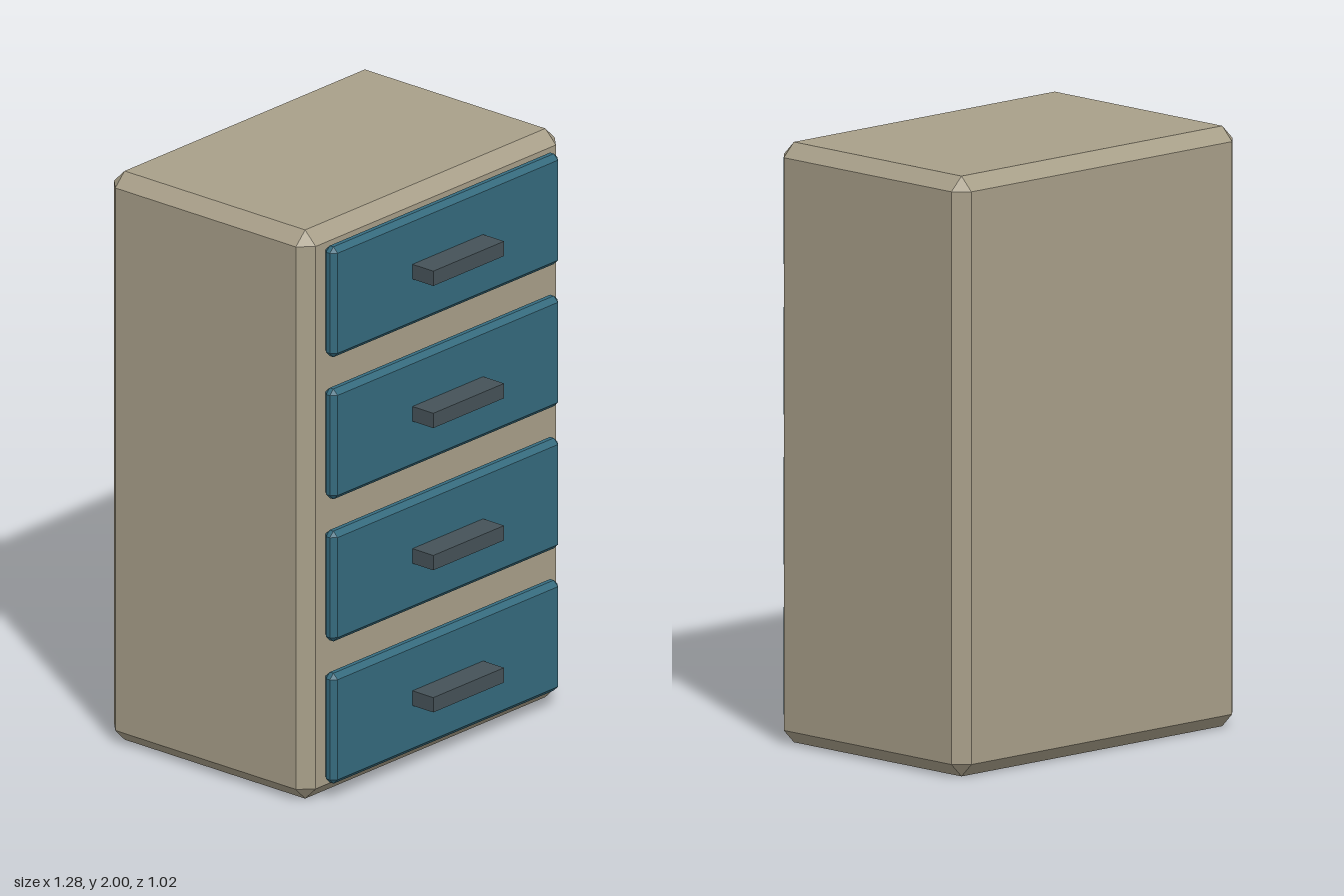
import * as THREE from 'three';
import { ConvexGeometry } from 'three/addons/geometries/ConvexGeometry.js';

// Box with every edge cut by a flat bevel: three points per corner
function bevelBox(w, h, d, b) {
  const points = [];
  for (const x of [-1, 1]) for (const y of [-1, 1]) for (const z of [-1, 1]) {
    for (const axis of [0, 1, 2]) {
      const inset = [0, 1, 2].map((i) => (i === axis ? 0 : b));
      points.push(new THREE.Vector3(
        x * (w / 2 - inset[0]),
        y * (h / 2 - inset[1]),
        z * (d / 2 - inset[2]),
      ));
    }
  }
  return new ConvexGeometry(points);
}

export function createModel() {
  const model = new THREE.Group();
  model.name = 'drawerCabinet';
  const material = (color) => new THREE.MeshStandardMaterial({ color, flatShading: true });
  const bodyMaterial = material(0xa89f89);
  const drawerMaterial = material(0x356a7d);
  const handleMaterial = material(0x455258);

  const add = (parent, name, geometry, mat, x, y, z) => {
    const mesh = new THREE.Mesh(geometry, mat);
    mesh.name = name;
    mesh.position.set(x, y, z);
    parent.add(mesh);
  };

  // Cabinet body
  add(model, 'cabinetBody', bevelBox(1.28, 2, 0.877, 0.046), bodyMaterial, 0, 1, -0.0715);

  // Four drawer fronts, each with a bar handle
  const frontGeometry = bevelBox(1.126, 0.388, 0.052, 0.018);
  const handleGeometry = new THREE.BoxGeometry(0.35, 0.052, 0.095);
  for (let i = 0; i < 4; i++) {
    const drawer = new THREE.Group();
    drawer.name = `drawer${i + 1}`;
    drawer.position.y = 0.253 + i * 0.5;
    add(drawer, 'drawerFront', frontGeometry, drawerMaterial, 0, 0, 0.393);
    add(drawer, 'handle', handleGeometry, handleMaterial, 0, 0, 0.4625);
    model.add(drawer);
  }
  return model;
}
